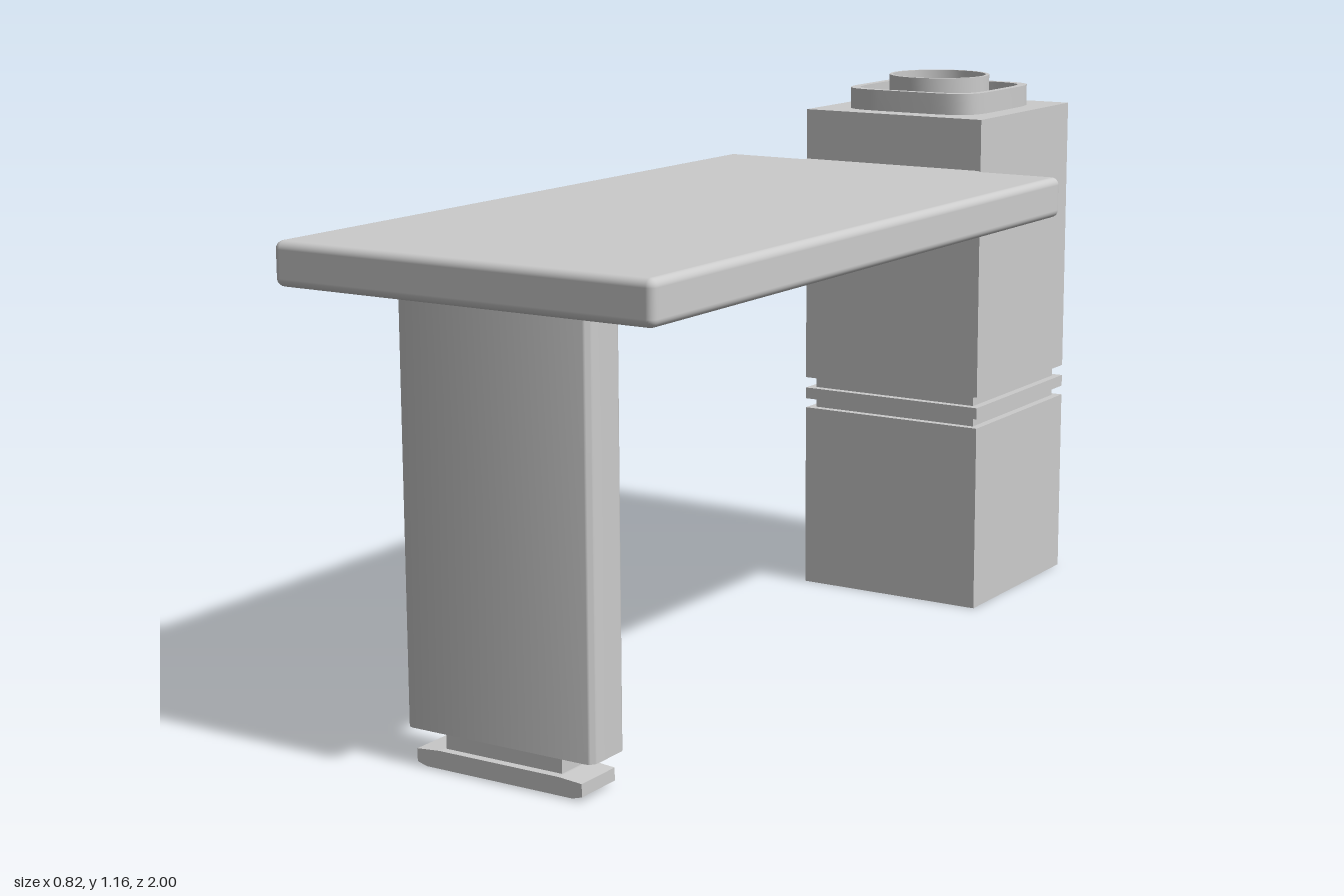
import * as THREE from 'three';
import { RoundedBoxGeometry } from 'three/addons/geometries/RoundedBoxGeometry.js';
import { toCreasedNormals } from 'three/addons/utils/BufferGeometryUtils.js';

const grey = new THREE.MeshStandardMaterial({ color: 0xcccccc });
const TOWER_Z = -0.782;

// Closed outline of a square with softly bulging sides
function softSquare(r, Target = THREE.Shape) {
  const points = [];
  for (let i = 0; i < 64; i++) {
    const a = (i / 64) * Math.PI * 2, c = Math.cos(a), s = Math.sin(a);
    const power = (v) => Math.sign(v) * Math.abs(v) ** 0.4;
    points.push(new THREE.Vector2(r * power(c), r * power(s)));
  }
  return new Target(points);
}

// Rectangle with rounded corners
function roundedRect(w, h, r) {
  const s = new THREE.Shape();
  s.absarc(w / 2 - r, h / 2 - r, r, 0, Math.PI / 2);
  s.absarc(r - w / 2, h / 2 - r, r, Math.PI / 2, Math.PI);
  s.absarc(r - w / 2, r - h / 2, r, Math.PI, Math.PI * 1.5);
  s.absarc(w / 2 - r, r - h / 2, r, Math.PI * 1.5, Math.PI * 2);
  return s;
}

// Extrude an outline upwards from y0 to y1
function upright(shape, y0, y1) {
  const g = new THREE.ExtrudeGeometry(shape, { depth: y1 - y0, bevelEnabled: false, curveSegments: 6 });
  g.rotateX(-Math.PI / 2).translate(0, y0, 0);
  return toCreasedNormals(g, 0.6);
}

export function createModel() {
  const model = new THREE.Group();
  model.name = 'tableWithTower';

  const add = (name, geometry, x = 0, y = 0, z = 0, parent = model) => {
    const mesh = new THREE.Mesh(geometry, grey);
    mesh.name = name;
    mesh.position.set(x, y, z);
    parent.add(mesh);
    return mesh;
  };

  // Square tower, split by a recessed joint with a thin band
  const tower = new THREE.Group();
  tower.name = 'tower';
  tower.position.z = TOWER_Z;
  model.add(tower);
  const blocks = [
    ['towerBase', 0.435, 0, 0.41],
    ['towerJoint', 0.4, 0.41, 0.48],
    ['towerBand', 0.435, 0.431, 0.456],
    ['towerBody', 0.435, 0.48, 1.09],
  ];
  for (const [name, w, y0, y1] of blocks) {
    add(name, new THREE.BoxGeometry(w, y1 - y0, w), 0, (y0 + y1) / 2, 0, tower);
  }

  // Raised rim and open round spout on top of the tower
  const rim = softSquare(0.166);
  rim.holes.push(softSquare(0.148, THREE.Path));
  add('topRim', upright(rim, 1.09, 1.136), 0, 0, 0, tower);
  const spoutProfile = [[0.104, 1.09], [0.112, 1.09], [0.112, 1.162], [0.104, 1.162], [0.104, 1.09]]
    .map(([r, y]) => new THREE.Vector2(r, y));
  add('topSpout', toCreasedNormals(new THREE.LatheGeometry(spoutProfile, 48), 0.6), 0, 0, 0, tower);

  // Table top and the strip joining it to the tower
  add('tableTop', new RoundedBoxGeometry(0.824, 0.085, 1.558, 4, 0.016), 0, 0.938, 0.221);
  add('tableJoint', new THREE.BoxGeometry(0.43, 0.083, 0.03), 0, 0.938, -0.555);

  // Wide slab leg
  const leg = new THREE.Group();
  leg.name = 'leg';
  leg.position.z = 0.852;
  model.add(leg);
  add('legSlab', upright(roundedRect(0.422, 0.107, 0.018), 0.073, 0.9), 0, 0, 0, leg);

  // Foot: narrow neck on a plate whose ends taper downwards
  add('footNeck', new THREE.BoxGeometry(0.262, 0.045, 0.07), 0, 0.053, 0, leg);
  const plate = new THREE.Shape([
    [-0.165, 0.003], [0.165, 0.003], [0.186, 0.009], [0.186, 0.034],
    [0.135, 0.038], [-0.135, 0.038], [-0.186, 0.034], [-0.186, 0.009],
  ].map(([x, y]) => new THREE.Vector2(x, y)));
  const plateGeometry = new THREE.ExtrudeGeometry(plate, { depth: 0.104, bevelEnabled: false });
  add('footPlate', plateGeometry, 0, 0, -0.052, leg);

  return model;
}
